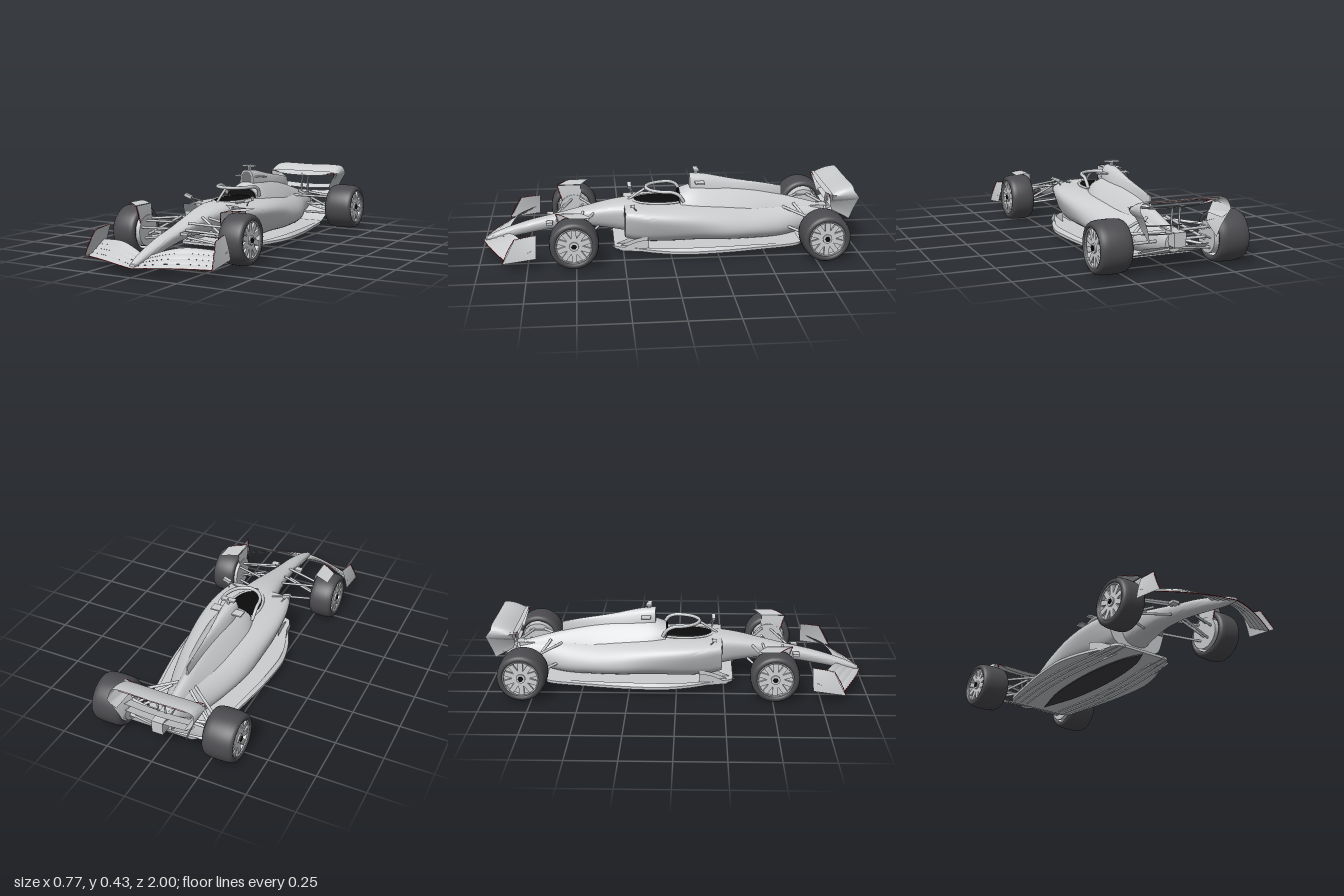
import * as THREE from 'three';
import { toCreasedNormals } from 'three/addons/utils/BufferGeometryUtils.js';

const mat = (name, color) => {
  const m = new THREE.MeshStandardMaterial({ color, side: THREE.DoubleSide });
  m.name = name;
  return m;
};
const V = (x, y, z) => new THREE.Vector3(x, y, z);
const mix = THREE.MathUtils.lerp;

// Surface swept by f(u, v) -> [x, y, z]
function grid(nu, nv, f, crease = 0.7) {
  const pos = [], idx = [];
  for (let i = 0; i <= nu; i++) for (let j = 0; j <= nv; j++) pos.push(...f(i / nu, j / nv));
  for (let i = 0; i < nu; i++) for (let j = 0; j < nv; j++) {
    const a = i * (nv + 1) + j, b = a + nv + 1;
    idx.push(a, b, a + 1, b, b + 1, a + 1);
  }
  const g = new THREE.BufferGeometry();
  g.setAttribute('position', new THREE.Float32BufferAttribute(pos, 3));
  g.setIndex(idx);
  return toCreasedNormals(g, crease);
}

// Smooth interpolation through rows of numbers
function sample(rows, t) {
  const n = rows.length - 1, s = t * n, i = Math.min(Math.floor(s), n - 1), f = s - i;
  const at = k => rows[Math.max(0, Math.min(n, k))];
  return at(i).map((b, k) => {
    const a = at(i - 1)[k], c = at(i + 1)[k], d = at(i + 2)[k];
    return b + 0.5 * f * (c - a + f * (2 * a - 5 * b + 4 * c - d + f * (3 * (b - c) + d - a)));
  });
}

// Closed body from stations [z, halfWidth, bottom, top, taper, squareness]
function loft(rows, seg = 40) {
  const n = (rows.length - 1) * 6;
  return grid(n + 2, seg, (u, v) => {
    const i = Math.round(u * (n + 2));
    const [z, w, y0, y1, k, p] = sample(rows, Math.max(0, Math.min(1, (i - 1) / n)));
    const cap = i === 0 || i === n + 2 ? 0 : 1;
    const a = -Math.PI / 2 - v * Math.PI * 2;
    const pw = c => Math.sign(c) * Math.pow(Math.abs(c), 2 / p);
    const s = pw(Math.sin(a));
    return [cap * w * pw(Math.cos(a)) * (1 - k * s), (y0 + y1) / 2 + cap * s * (y1 - y0) / 2, z];
  });
}

export function createModel() {
  const car = new THREE.Group();
  car.name = 'racingCar';
  const body = mat('body grey', 0xcbcdcf), tyre = mat('tyre grey', 0x4c4c50),
    black = mat('cockpit black', 0x0b0b0c), dark = mat('plank charcoal', 0x3e3e42),
    red = mat('red trim', 0xb01018), metal = mat('rim silver', 0xd0d2d4), shade = mat('inlet grey', 0x707174);
  const add = (name, geo, m = body, parent = car) => {
    const mesh = new THREE.Mesh(geo, m);
    mesh.name = name;
    parent.add(mesh);
    return mesh;
  };
  const box = (name, w, h, d, x, y, z, m = body) => {
    const b = add(name, new THREE.BoxGeometry(w, h, d), m);
    b.position.set(x, y, z);
    return b;
  };
  const rod = (name, a, b, r = 0.006) => {
    const c = add(name, new THREE.CylinderGeometry(r, r, a.distanceTo(b), 10));
    c.position.copy(a).lerp(b, 0.5);
    c.quaternion.setFromUnitVectors(V(0, 1, 0), b.clone().sub(a).normalize());
    return c;
  };
  const tube = (name, pts, r, m = body) =>
    add(name, new THREE.TubeGeometry(new THREE.CatmullRomCurve3(pts), 40, r, 8), m);

  // Bodywork
  add('noseAndTub', loft([
    [.985, .014, .042, .062, -.1, 2.4], [.9, .027, .05, .1, -.15, 2.4], [.75, .037, .08, .147, -.2, 2.5],
    [.6, .045, .105, .18, -.2, 2.6], [.45, .06, .115, .215, -.2, 2.7], [.32, .08, .1, .243, -.2, 2.8],
    [.2, .1, .08, .255, -.15, 3], [.05, .115, .06, .25, 0, 3], [-.1, .11, .06, .262, 0, 3]]));
  add('sidepods', loft([
    [.24, .172, .07, .245, -.16, 4.5], [.14, .192, .045, .248, -.2, 3.8], [0, .208, .04, .248, -.18, 3.1],
    [-.15, .21, .04, .246, -.1, 2.5], [-.3, .198, .035, .238, .06, 2.2], [-.45, .165, .03, .226, .16, 2],
    [-.6, .12, .03, .215, .2, 2], [-.75, .068, .055, .205, .15, 2.1], [-.87, .045, .09, .18, 0, 2.2]], 56));
  add('engineCover', loft([
    [-.06, .098, .18, .305, .2, 2.6], [-.15, .12, .11, .335, .4, 2.2], [-.3, .118, .07, .325, .52, 2.1],
    [-.45, .096, .07, .298, .52, 2.1], [-.6, .066, .08, .262, .45, 2.1], [-.75, .045, .1, .222, .3, 2.2],
    [-.9, .028, .11, .18, 0, 2.4]]));
  add('airbox', loft([
    [-.115, .04, .29, .392, .12, 2.8], [-.2, .044, .24, .385, .24, 2.5], [-.35, .032, .2, .355, .35, 2.2],
    [-.5, .015, .2, .33, .3, 2], [-.62, .005, .2, .308, 0, 2]]));
  const fin = new THREE.Shape([[.35, .2], [.35, .345], [.62, .307], [.625, .2]].map(p => new THREE.Vector2(...p)));
  const finGeo = new THREE.ExtrudeGeometry(fin, { depth: .006, bevelEnabled: false });
  add('engineFin', finGeo.rotateY(Math.PI / 2).translate(-.003, 0, 0));
  const intake = add('airIntake', new THREE.CircleGeometry(1, 28), shade);
  intake.scale.set(.033, .042, 1);
  intake.position.set(0, .343, -.112);
  box('gearbox', .06, .07, .18, 0, .16, -.84);

  // Cockpit and halo
  const seat = add('cockpitOpening', new THREE.SphereGeometry(1, 32, 16), black);
  seat.scale.set(.08, .014, .152);
  seat.position.set(0, .25, .046);
  const rest = add('headrest', new THREE.CylinderGeometry(1, 1, .012, 40, 1, false, -Math.PI / 2, Math.PI)
    .rotateX(-Math.PI / 2), black);
  rest.scale.set(.086, .052, 1);
  rest.position.set(0, .25, -.058);
  const rim = add('cockpitRim', new THREE.TorusGeometry(1, .08, 8, 48).rotateX(Math.PI / 2));
  rim.scale.set(.088, .08, .155);
  rim.position.set(0, .251, .04);
  const arc = [];
  for (let i = 0; i <= 12; i++) {
    const a = Math.PI * i / 12;
    arc.push(V(.1 * Math.cos(a), .316 + .002 * Math.sin(a), -.01 + .13 * Math.sin(a)));
  }
  tube('haloHoop', [V(.1, .262, -.075), V(.104, .3, -.05), ...arc, V(-.104, .3, -.05), V(-.1, .262, -.075)], .0095);
  tube('haloPillar', [V(0, .25, .215), V(0, .285, .165), V(0, .317, .115)], .007);

  // Roof camera and its small wings
  box('roofCamera', .074, .009, .03, 0, .413, -.15);
  box('cameraPost', .01, .03, .02, 0, .395, -.15);
  rod('antenna', V(0, .41, -.16), V(0, .426, -.16), .002);
  box('airboxWing', .175, .007, .05, 0, .353, -.165);

  // Floor, plank and diffuser
  const half = [[.1, .3], [.165, .29], [.2, .2], [.25, .08], [.278, -.03], [.284, -.12], [.27, -.3], [.238, -.5], [.21, -.65], [.18, -.7]]
    .map(p => new THREE.Vector2(...p));
  const outline = new THREE.SplineCurve(half).getPoints(50);
  const floor = new THREE.Shape([...outline, ...outline.map(p => new THREE.Vector2(-p.x, p.y)).reverse()]);
  add('floor', new THREE.ExtrudeGeometry(floor, { depth: .014, bevelEnabled: false })
    .rotateX(Math.PI / 2).translate(0, .046, 0));
  const plank = new THREE.Shape(), pl = [[0, .29], [.045, .18], [.075, 0], [.08, -.2], [.06, -.42], [0, -.64]]
    .map(p => new THREE.Vector2(...p));
  const edge = new THREE.SplineCurve(pl).getPoints(30);
  plank.setFromPoints([...edge, ...edge.map(p => new THREE.Vector2(-p.x, p.y)).reverse()]);
  add('plank', new THREE.ExtrudeGeometry(plank, { depth: .006, bevelEnabled: false })
    .rotateX(Math.PI / 2).translate(0, .03, 0), dark);
  add('diffuser', grid(12, 16, (u, v) =>
    [(v * 2 - 1) * mix(.2, .17, u), .036 + .09 * u * u, -.64 - .26 * u]));

  // Rear wing: rounded hoop running into the end plates
  const hoop = new THREE.CatmullRomCurve3([[-.18, .262], [-.213, .285], [-.226, .32], [-.213, .347], [-.18, .355],
    [0, .354], [.18, .355], [.213, .347], [.226, .32], [.213, .285], [.18, .262]].map(p => V(p[0], p[1], 0)));
  add('rearWingFlap', grid(64, 8, (u, v) => {
    const p = hoop.getPoint(u), flat = THREE.MathUtils.smoothstep(p.y, .3, .345);
    return [p.x, p.y - flat * .035 * (1 - v) * (1 - v), mix(-.85, -.965, v) - (1 - flat) * .025 * v];
  }));
  add('rearWingMainPlane', grid(24, 6, (u, v) => {
    const x = (u * 2 - 1) * .215, dip = 1 - Math.pow(Math.abs(u * 2 - 1), 3);
    return [x, .318 - .024 * dip + .02 * v * v, mix(-.84, -.915, v)];
  }));
  tube('flapTrim', [V(-.18, .353, -.966), V(0, .352, -.966), V(.18, .353, -.966)], .0011, red);
  for (const y of [.175, .215]) add('beamWing', grid(16, 4, (u, v) =>
    [(u * 2 - 1) * .175, y + .02 * v + .01 * Math.pow(u * 2 - 1, 2), -.87 - .06 * v]));

  // Wheel: rounded tyre, dished rim, spokes and hub
  function wheel(name, s, x, z, w) {
    const g = new THREE.Group(), h = w / 2;
    g.name = name;
    const prof = [[.092, -.8], [.096, -.96], [.106, -1], [.116, -.94], [.123, -.8], [.127, -.5], [.128, 0],
      [.127, .5], [.123, .8], [.116, .94], [.106, 1], [.096, .96], [.092, .8]].map(p => new THREE.Vector2(p[0], p[1] * h));
    const turn = geo => geo.rotateZ(-Math.PI / 2);
    add('tyre', turn(new THREE.LatheGeometry(prof, 56)), tyre, g);
    add('rimBarrel', turn(new THREE.CylinderGeometry(.093, .093, w * .86, 40, 1, true)), metal, g);
    add('rimLip', new THREE.TorusGeometry(.091, .004, 8, 40).rotateY(Math.PI / 2).translate(s * h * .88, 0, 0), metal, g);
    add('rimBack', turn(new THREE.CylinderGeometry(.092, .092, .01, 40)).translate(s * h * .45, 0, 0), metal, g);
    for (let i = 0; i < 10; i++) {
      const sp = add('spoke', new THREE.BoxGeometry(.012, .078, .026).translate(s * h * .72, .053, 0), metal, g);
      sp.rotation.x = i * Math.PI / 5;
    }
    add('hub', turn(new THREE.CylinderGeometry(.024, .024, .03, 20)).translate(s * h * .7, 0, 0), metal, g);
    add('wheelNut', turn(new THREE.CylinderGeometry(.014, .014, .016, 6)).translate(s * h * .86, 0, 0), black, g);
    add('brakeDrum', turn(new THREE.CylinderGeometry(.08, .085, w * .6, 32)).translate(-s * h * .55, 0, 0), body, g);
    g.position.set(s * x, .128, z);
    car.add(g);
  }

  for (const s of [1, -1]) {
    const side = s > 0 ? 'left' : 'right', P = (x, y, z) => V(s * x, y, z);
    wheel(side + 'FrontWheel', s, .306, .51, .13);
    wheel(side + 'RearWheel', s, .304, -.795, .162);

    // Front wing: four swept elements overlapping edge to edge
    const wing = (u, c) => {
      const x = mix(.0, .352, u), lead = mix(.997, .85, Math.pow(u, 1.25));
      const trail = mix(.87, .725, Math.pow(u, 1.3));
      const y0 = .042 + .006 * Math.sin(u * Math.PI), rise = .03 + .05 * Math.sin(Math.min(1, u * 1.6) * Math.PI / 2) - .02 * u * u;
      return [s * x, y0 + rise * Math.pow(c, 1.15), mix(lead, trail, c)];
    };
    for (let k = 0; k < 4; k++) add(side + 'FrontWingElement', grid(20, 6, (u, v) => {
      const p = wing(u, (k + v * 1.03) / 4);
      p[1] += .003 * Math.sin(v * Math.PI) + .001 * k;
      return p;
    }));
    tube(side + 'FrontWingTrim', [0, .25, .5, .75, 1].map(u => V(...wing(u, 0))), .0018, red);
    add(side + 'FrontEndPlate', grid(8, 8, (u, v) => {
      const z = mix(mix(.875, .705, u), mix(.81, .7, u), v), y = mix(mix(.042, .065, u), mix(.165, .182, u), v);
      return [s * (mix(.358, .338, v * v * .6 + v * .4) - .012 * u * v), y, z];
    }));
    tube(side + 'EndPlateTrim', [P(.357, .042, .876), P(.35, .11, .845), P(.338, .165, .812)], .0018, red);
    tube(side + 'EndPlateTopTrim', [P(.337, .167, .81), P(.332, .175, .755), P(.328, .181, .72)], .0014, red);

    // Front suspension, wheel winglet and nose camera
    for (const [a, b] of [[[.05, .2, .4], [.25, .185, .48]], [[.045, .195, .57], [.25, .18, .52]], [[.06, .125, .38], [.25, .09, .49]],
      [[.045, .125, .58], [.25, .09, .53]], [[.06, .21, .46], [.25, .1, .51]], [[.05, .165, .6], [.25, .15, .56]]])
      rod(side + 'FrontSuspensionArm', P(...a), P(...b), .0065);
    add(side + 'WheelWinglet', grid(10, 6, (u, v) =>
      [s * mix(.245, .335, u), .264 + .005 * Math.sin(u * 2.4), mix(mix(.6, .53, u), mix(.47, .42, u), v)]));
    add(side + 'WheelDeflector', grid(8, 6, (u, v) =>
      [s * (.241 - .006 * Math.sin(u * 3)), mix(.1, .264, u), mix(mix(.55, .6, u), .47, v)]));
    tube(side + 'DeflectorTrim', [P(.24, .1, .552), P(.235, .18, .577), P(.243, .264, .602)], .0018, red);
    tube(side + 'WingletTrim', [P(.247, .266, .602), P(.29, .27, .567), P(.333, .268, .532)], .0014, red);
    box(side + 'NoseCamera', .04, .014, .035, s * .075, .155, .64);
    rod(side + 'NoseCameraStalk', P(.03, .155, .64), P(.06, .155, .64), .004);

    // Sidepod inlet, mirror and floor fences
    box(side + 'SidepodInlet', .085, .042, .006, s * .144, .216, .24, shade);
    const mirror = box(side + 'Mirror', .045, .016, .022, s * .182, .272, .2);
    mirror.rotation.z = s * .35;
    rod(side + 'MirrorStalk', P(.1, .25, .19), P(.17, .265, .2), .004);
    rod(side + 'MirrorBrace', P(.16, .24, .18), P(.185, .27, .2), .003);
    for (let k = 0; k < 3; k++) add(side + 'FloorFence', grid(10, 3, (u, v) => {
      const z = mix(.31 - .02 * k, .12, u);
      return [s * (.125 + .03 * k + u * .016 * k), mix(.028, .034 + .06 * Math.sin(u * Math.PI / 2), v), z];
    }));
    for (let k = 0; k < 3; k++) add(side + 'UnderfloorStrake', grid(24, 2, (u, v) => {
      const z = mix(.22, -.66, u);
      return [s * (.11 + .04 * k + .035 * Math.sin(u * Math.PI)), mix(.025, .034, v), z];
    }));
    add(side + 'FloorEdgeWing', grid(20, 4, (u, v) => {
      const p = sample(half.map(q => [q.x, q.y]), mix(.25, .85, u));
      return [s * (p[0] - .02 * v), .046 + .016 * v * Math.sin(u * Math.PI), p[1]];
    }));

    // Rear suspension, end plates and wing pylons
    for (const [a, b] of [[[.04, .2, -.62], [.235, .18, -.77]], [[.04, .19, -.86], [.235, .18, -.81]], [[.05, .11, -.6], [.235, .08, -.78]],
      [[.03, .11, -.88], [.235, .08, -.82]], [[.05, .22, -.68], [.235, .1, -.79]], [[.03, .13, -.795], [.235, .128, -.795]]])
      rod(side + 'RearSuspensionArm', P(...a), P(...b), .0075);
    add(side + 'RearEndPlate', grid(8, 8, (u, v) =>
      [s * mix(.172, .224, Math.pow(v, 1.4)), mix(mix(.22, .165, u), mix(.315, .305, u), v),
        mix(mix(-.86, -.835, v), mix(-.96, -.998, v), u)]));
    tube(side + 'RearWingTrim', [P(.212, .295, -.838), P(.21, .312, -.836), P(.195, .314, -.837), P(.165, .309, -.838)], .0018, red);
    rod(side + 'RearWingPylon', P(.02, .17, -.87), P(.02, .3, -.885), .005);
    for (let k = 0; k < 3; k++) box(side + 'RearBrakeVane', .03, .005, .1, s * .215, .08 + .05 * k, -.79);
  }
  return car;
}
